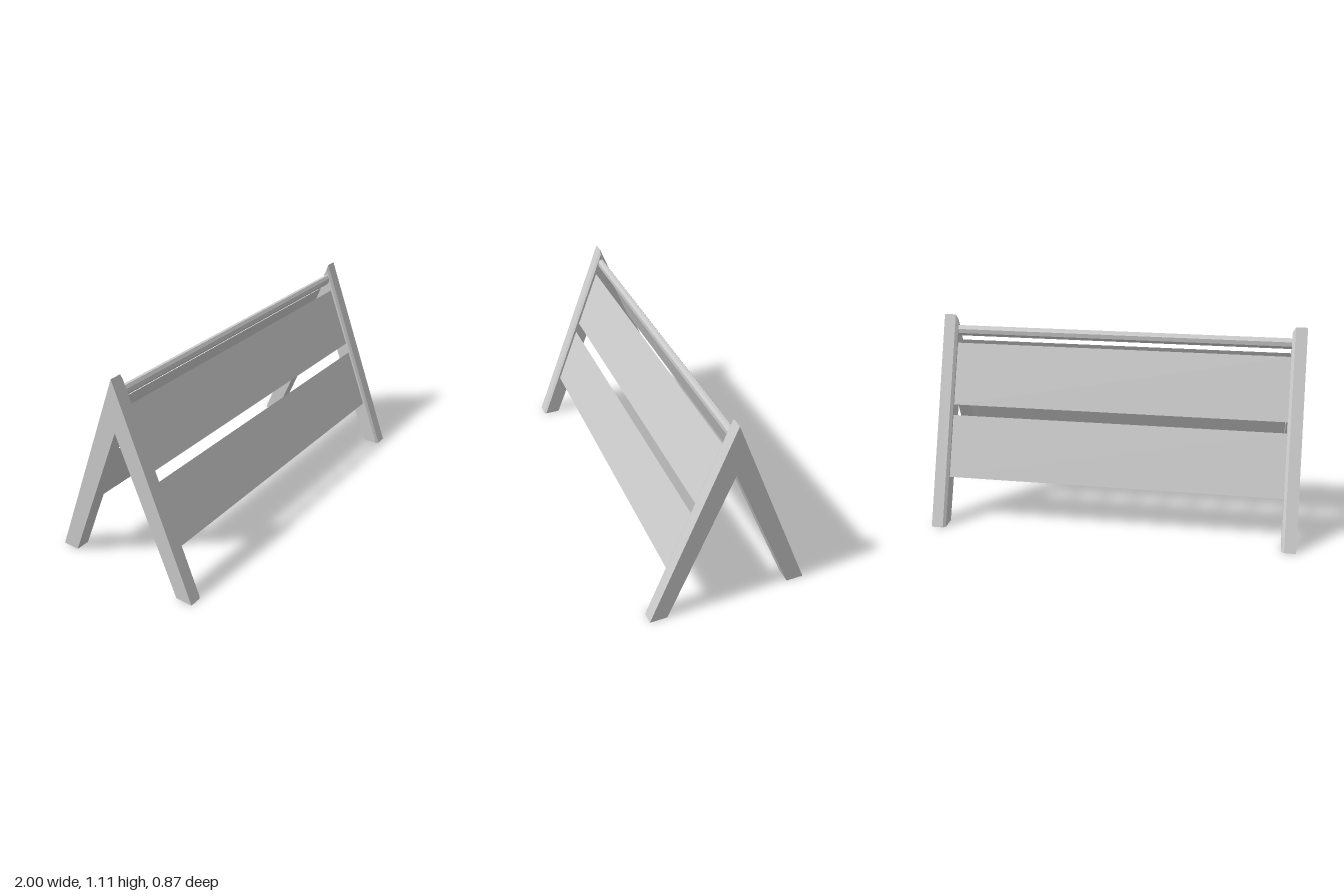
import * as THREE from 'three';

const HALF = 0.925; // half the clear span between the two end frames

function material() {
  return new THREE.MeshStandardMaterial({ color: 0xcccccc, side: THREE.DoubleSide, flatShading: true });
}

// Hollow A-shaped frame: a five-sided section swept foot - apex - foot, open at the feet
function frameGeometry() {
  const section = (inner, outer, chamfer, place) => [
    [HALF - 0.003, inner], [1, inner], [1, outer], [0.937, outer], [HALF - 0.003, outer - chamfer],
  ].map(([x, t]) => place(x, t));
  const rings = [
    section(0.34, 0.435, 0.011, (x, t) => [x, 0, t]),
    section(0.825, 1.11, 0.028, (x, t) => [x, t, 0]),
    section(0.34, 0.435, 0.011, (x, t) => [x, 0, -t]),
  ];
  const positions = [];
  for (let r = 0; r < 2; r++) {
    for (let i = 0; i < 5; i++) {
      const j = (i + 1) % 5;
      const [a, b, c, d] = [rings[r][i], rings[r][j], rings[r + 1][j], rings[r + 1][i]];
      positions.push(...a, ...b, ...c, ...a, ...c, ...d);
    }
  }
  const geometry = new THREE.BufferGeometry();
  geometry.setAttribute('position', new THREE.Float32BufferAttribute(positions, 3));
  geometry.computeVertexNormals();
  return geometry;
}

export function createModel() {
  const model = new THREE.Group();
  const add = (name, geometry) => {
    const mesh = new THREE.Mesh(geometry, material());
    mesh.name = name;
    model.add(mesh);
    return mesh;
  };

  // End frames
  const frame = frameGeometry();
  add('leftFrame', frame);
  add('rightFrame', frame).rotation.y = Math.PI;

  // Thin sloping boards, two on each face
  const slopeZ = (y) => 0.413 - 0.394 * y;
  for (const [level, low, high] of [['lower', 0.255, 0.578], ['upper', 0.633, 0.957]]) {
    const rise = high - low;
    const run = slopeZ(low) - slopeZ(high);
    const mid = (low + high) / 2;
    for (const [face, turn] of [['Front', 0], ['Back', Math.PI]]) {
      const board = new THREE.PlaneGeometry(2 * HALF, Math.hypot(rise, run));
      board.rotateX(-Math.atan2(run, rise));
      board.translate(0, mid, slopeZ(mid));
      board.rotateY(turn);
      add(level + face + 'Board', board);
    }
  }

  // Narrow top rail, taller than it is deep
  const rail = new THREE.CylinderGeometry(1, 1, 2 * HALF, 8, 1);
  rail.rotateY(Math.PI / 8);
  rail.rotateZ(Math.PI / 2);
  const k = Math.cos(Math.PI / 8);
  rail.scale(1, 0.0275 / k, 0.0185 / k);
  rail.translate(0, 1.02, 0);
  add('topRail', rail);

  return model;
}
